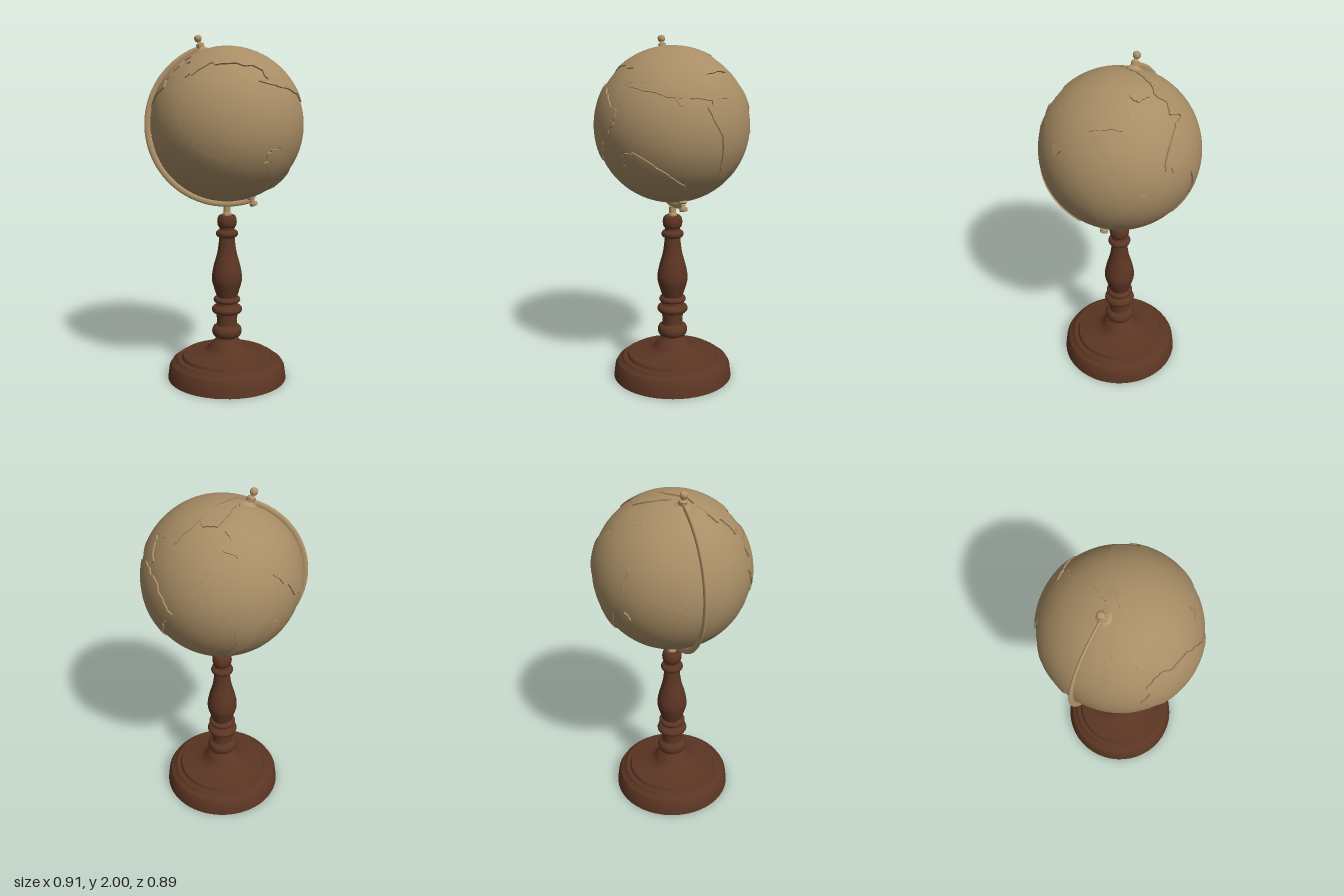
import * as THREE from 'three';
import { toCreasedNormals } from 'three/addons/utils/BufferGeometryUtils.js';

const R = 0.435, CX = 0.015, CY = 1.497, TILT = 0.328, LIFT = 0.008;

const parchment = new THREE.MeshStandardMaterial({ color: 0xa88d65 });
parchment.name = 'parchment';
const brass = new THREE.MeshStandardMaterial({ color: 0xb2946a });
brass.name = 'brass';
const wood = new THREE.MeshStandardMaterial({ color: 0x5b3523 });
wood.name = 'wood';

function add(parent, name, geometry, material) {
  const mesh = new THREE.Mesh(geometry, material);
  mesh.name = name;
  parent.add(mesh);
  return mesh;
}

function lathe(points, segments = 48) {
  const profile = points.map(([r, y]) => new THREE.Vector2(r, y));
  return toCreasedNormals(new THREE.LatheGeometry(profile, segments), 0.6);
}

// Profile of a rounded turned ring swelling from the neck radius to the outer radius
function bead(y0, y1, neck, outer) {
  return Array.from({ length: 9 }, (_, i) =>
    [neck + (outer - neck) * Math.sqrt(Math.sin(Math.PI * i / 8.0001)), y0 + (y1 - y0) * i / 8]);
}

// Smooth profile through a few points
function curve(points, steps) {
  const spline = new THREE.SplineCurve(points.map(([r, y]) => new THREE.Vector2(r, y)));
  return spline.getPoints(steps).map((p) => [p.x, p.y]);
}

// A facing is the direction an outline is drawn from, with the map's centre and radius
function facing(dir, up, cx, cy, r) {
  const n = new THREE.Vector3(...dir).normalize();
  const right = new THREE.Vector3(...up).cross(n).normalize();
  return { n, right, up: n.clone().cross(right), cx, cy, r };
}
const Y = [0, 1, 0];
const FRONT = facing([0, 0, 1], Y, 242, 130, 82);
const SIDE = facing([1, 0, 0], Y, 686, 130, 82);
const TOP = facing([0, 1, 0], [0, 0, -1], 1141, 224, 180);
const BACK = facing([-0.665, 0.342, -0.665], Y, 682, 592, 76);

// Raised land: rings grow from the middle to the coast, then drop into the sphere
function landGeometry(f, outline) {
  const pts = outline.map(([x, y]) =>
    new THREE.Vector3((x - f.cx) / f.r, (f.cy - y) / f.r, 0).clampLength(0, 0.985));
  if (THREE.ShapeUtils.area(pts) < 0) pts.reverse();
  const n = pts.length * 14, rings = 8;
  const coast = new THREE.CatmullRomCurve3(pts, true, 'catmullrom', 0.4).getPoints(n).slice(0, n);
  const mid = pts.reduce((s, p) => s.add(p), new THREE.Vector3()).divideScalar(pts.length);
  coast.forEach((p, i) => { // ragged shoreline
    const a = i / n * Math.PI * 2;
    const k = 1 + 0.04 * Math.sin(a * 7) + 0.03 * Math.sin(a * 13 + 1) + 0.02 * Math.sin(a * 23 + 2);
    p.sub(mid).multiplyScalar(k).add(mid).clampLength(0, 0.988);
  });
  const pos = [], index = [];
  const put = (p, radius) => {
    const d = new THREE.Vector3()
      .addScaledVector(f.right, p.x).addScaledVector(f.up, p.y)
      .addScaledVector(f.n, Math.sqrt(1 - p.x * p.x - p.y * p.y))
      .multiplyScalar(radius);
    pos.push(d.x, d.y, d.z);
  };
  put(mid, R + LIFT);
  for (let k = 1; k <= rings + 1; k++) {
    const t = Math.min(k / rings, 1);
    for (const p of coast) put(mid.clone().lerp(p, t), k > rings ? R - 0.006 : R + LIFT);
  }
  for (let i = 0; i < n; i++) {
    const j = (i + 1) % n;
    index.push(0, 1 + i, 1 + j);
    for (let k = 0; k < rings; k++) {
      const a = 1 + k * n, b = a + n;
      index.push(a + i, b + i, b + j, a + i, b + j, a + j);
    }
  }
  const g = new THREE.BufferGeometry();
  g.setAttribute('position', new THREE.Float32BufferAttribute(pos, 3));
  g.setIndex(index);
  return toCreasedNormals(g, 0.7);
}

// Rough corners of each land; the curve and the shoreline rule fill in the rest
const LANDS = [
  ['oceanContinent', FRONT, [[188, 115], [208, 88], [250, 95], [274, 118], [255, 142], [232, 162], [205, 146]]],
  ['southernLand', SIDE, [[622, 150], [655, 172], [676, 188], [655, 195], [620, 165]]],
  ['southwestContinent', SIDE, [[690, 104], [722, 103], [748, 130], [735, 155], [710, 180], [706, 140]]],
  ['isthmus', SIDE, [[625, 85], [660, 97], [715, 98], [700, 80], [660, 65]]],
  ['northwestContinent', TOP, [[1050, 330], [1060, 275], [1130, 225], [1222, 145], [1295, 225], [1285, 305], [1200, 340], [1110, 338]]],
  ['arcticIsland', TOP, [[1062, 200], [1080, 135], [1125, 95], [1120, 140], [1105, 200]]],
  ['polarIsland', TOP, [[1112, 208], [1150, 145], [1188, 155], [1165, 195]]],
  ['northCoast', TOP, [[1030, 120], [1090, 65], [1150, 52], [1212, 65], [1110, 90]]],
  ['southeastContinent', BACK, [[614, 585], [640, 563], [672, 588], [645, 650], [630, 612]]],
  ['easternContinent', BACK, [[645, 550], [700, 526], [740, 560], [728, 615], [695, 612], [667, 580]]],
  ['southIsland', BACK, [[663, 642], [668, 628], [674, 634]]],
];

export function createModel() {
  const model = new THREE.Group();
  model.name = 'deskGlobe';

  // Turned wooden stand: hollow foot, beaded stem, vase and cap
  const stand = new THREE.Group();
  stand.name = 'stand';
  stand.position.x = CX;
  model.add(stand);
  add(stand, 'foot', lathe([
    [0, 0.13], [0.24, 0.105], [0.25, 0.085], [0.3, 0.075], [0.335, 0], [0.352, 0], [0.343, 0.07], [0.328, 0.095],
    [0.305, 0.105], [0.295, 0.12], [0.27, 0.122], [0.262, 0.14],
    ...curve([[0.22, 0.145], [0.16, 0.155], [0.12, 0.172], [0.09, 0.21], [0.07, 0.23]], 12),
  ]), wood);
  add(stand, 'stem', lathe([
    [0.07, 0.23], ...bead(0.245, 0.32, 0.062, 0.088), [0.058, 0.35], [0.064, 0.385],
    ...bead(0.39, 0.44, 0.064, 0.09), ...bead(0.455, 0.492, 0.06, 0.079),
  ]), wood);
  add(stand, 'vase', lathe([
    ...curve([[0.06, 0.492], [0.075, 0.54], [0.089, 0.6], [0.08, 0.67], [0.056, 0.76], [0.045, 0.845]], 24),
    ...bead(0.848, 0.892, 0.045, 0.065), ...bead(0.905, 0.978, 0.044, 0.057), [0, 0.978],
  ]), wood);

  // Collar joining stand and arm
  add(model, 'collar', lathe([[0.027, 0.97], [0.027, 0.99], [0.02, 0.995], [0.02, 1.03], [0, 1.03]], 24), brass).position.x = CX;

  // Globe with raised land
  const globe = new THREE.Group();
  globe.name = 'globe';
  globe.position.set(CX, CY, 0);
  model.add(globe);
  add(globe, 'sphere', new THREE.SphereGeometry(R, 64, 40), parchment);
  for (const [name, f, outline] of LANDS) add(globe, name, landGeometry(f, outline), parchment);

  // Half-ring arm and the pins at both poles, tilted together
  const mount = new THREE.Group();
  mount.name = 'mount';
  mount.position.set(CX, CY, 0);
  mount.rotation.z = TILT;
  model.add(mount);
  const arm = add(mount, 'arm', new THREE.TorusGeometry(0.453, 0.017, 12, 64, Math.PI), brass);
  arm.rotation.z = Math.PI / 2;
  arm.scale.z = 0.5;
  add(mount, 'topPin', lathe([
    [0.042, 0.425], [0.042, 0.44], [0.03, 0.447], [0.022, 0.455], [0.022, 0.477], [0.012, 0.482],
    ...bead(0.49, 0.527, 0.01, 0.021), [0, 0.527],
  ], 24), brass);
  add(mount, 'bottomPin', lathe([
    [0, -0.491], [0.02, -0.491], [0.023, -0.485], [0.023, -0.472], [0.015, -0.468], [0.015, -0.45],
    [0.026, -0.446], [0.026, -0.425],
  ], 24), brass);

  return model;
}
